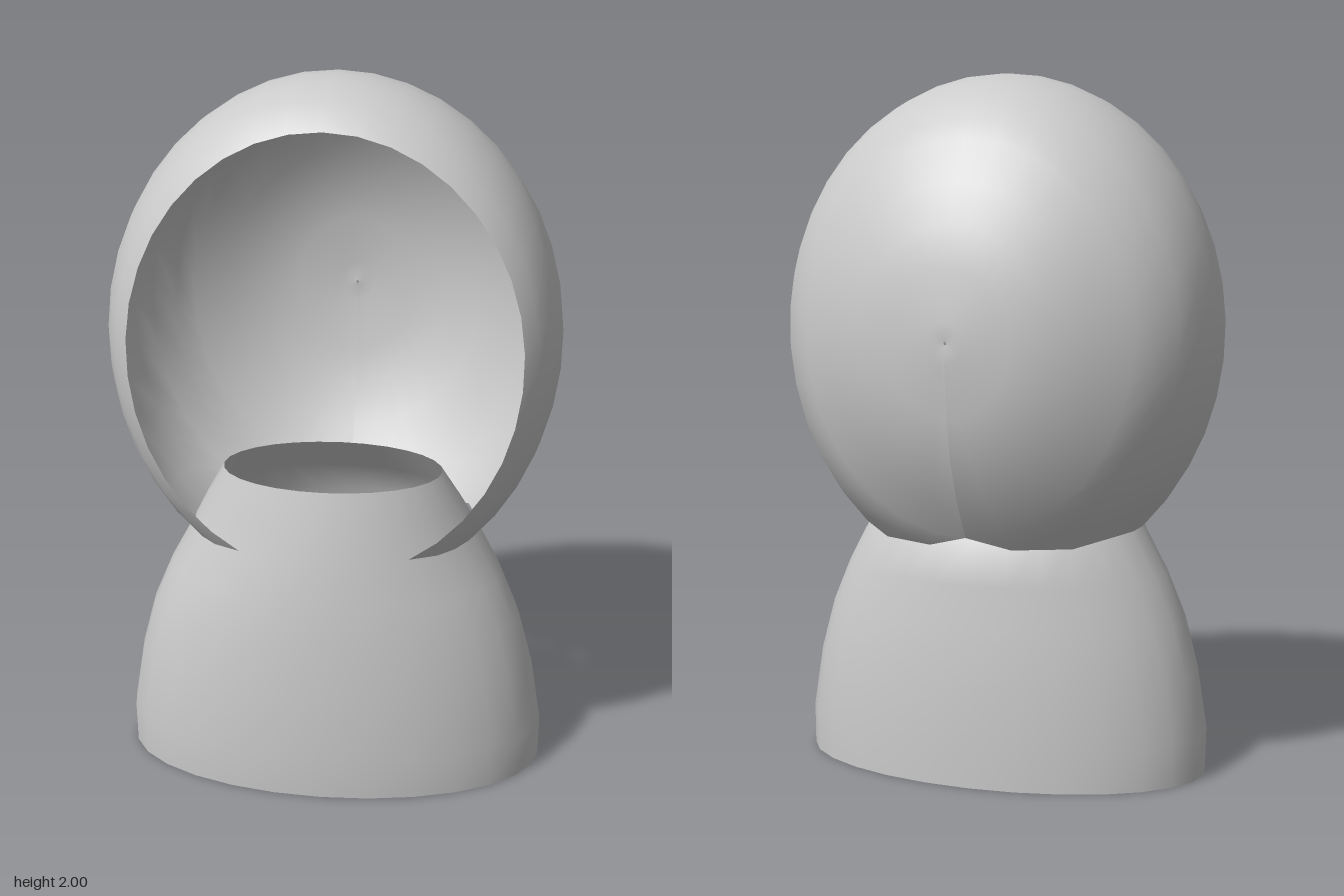
import * as THREE from 'three';

const material = new THREE.MeshStandardMaterial({ color: 0xcccccc, side: THREE.DoubleSide });

// Skin a smooth open surface over cross-sections with equal point counts
function loft(name, rings, closed) {
  const n = rings[0].length;
  const index = [];
  for (let r = 0; r < rings.length - 1; r++) {
    for (let i = 0; i < (closed ? n : n - 1); i++) {
      const j = (i + 1) % n;
      const a = r * n + i, b = r * n + j, c = a + n, d = b + n;
      index.push(a, c, b, b, c, d);
    }
  }
  const geometry = new THREE.BufferGeometry();
  geometry.setAttribute('position', new THREE.Float32BufferAttribute(rings.flat(2), 3));
  geometry.setIndex(index);
  geometry.computeVertexNormals();
  const mesh = new THREE.Mesh(geometry, material);
  mesh.name = name;
  return mesh;
}

// Egg-shaped hood: arcs from the back pole to the face opening, cut level at the neck
function hood() {
  const profile = [ // z, scale of the widest section
    [-0.425, 0.006], [-0.43, 0.08], [-0.415, 0.28], [-0.39, 0.43], [-0.34, 0.59], [-0.27, 0.75],
    [-0.23, 0.82], [-0.16, 0.91], [-0.08, 0.965], [0.02, 0.995], [0.1, 1], [0.19, 0.985],
    [0.26, 0.95], [0.31, 0.91], [0.35, 0.85],
  ];
  const steps = 32;
  const rings = profile.map(([z, s]) => {
    const cut = z < -0.15 ? 0.69 : 0.715;
    const gap = Math.acos(Math.min(1, (1.28 - cut) / (0.74 * s)));
    const ring = [];
    for (let i = 0; i <= steps; i++) {
      const a = -Math.PI / 2 + gap + (2 * Math.PI - 2 * gap) * (i / steps);
      const up = Math.sin(a);
      ring.push([0.63 * s * Math.cos(a), 1.28 + (up > 0 ? 0.72 : 0.74) * s * up, z]);
    }
    return ring;
  });
  return loft('hood', rings, false);
}

// Flared shoulder cape: open tube narrowing to a collar inside the hood
function cape() {
  const sections = [ // y, half width, back z, front z
    [0, 0.602, -0.25, 0.425], [0.12, 0.604, -0.252, 0.432], [0.3, 0.575, -0.25, 0.427],
    [0.45, 0.535, -0.237, 0.418], [0.58, 0.48, -0.225, 0.405], [0.7, 0.415, -0.212, 0.388],
    [0.8, 0.365, -0.13, 0.37], [0.9, 0.31, -0.05, 0.35],
  ];
  const sides = 28;
  const rings = sections.map(([y, w, back, front]) => {
    const ring = [];
    for (let i = 0; i < sides; i++) {
      const a = (i / sides) * 2 * Math.PI;
      ring.push([w * Math.cos(a), y, (front + back) / 2 - ((front - back) / 2) * Math.sin(a)]);
    }
    return ring;
  });
  // Collar is level in front and tucks in at the back
  return loft('shoulderCape', rings.reverse(), true);
}

export function createModel() {
  const model = new THREE.Group();
  model.name = 'hoodedCape';
  model.add(hood(), cape());
  return model;
}
